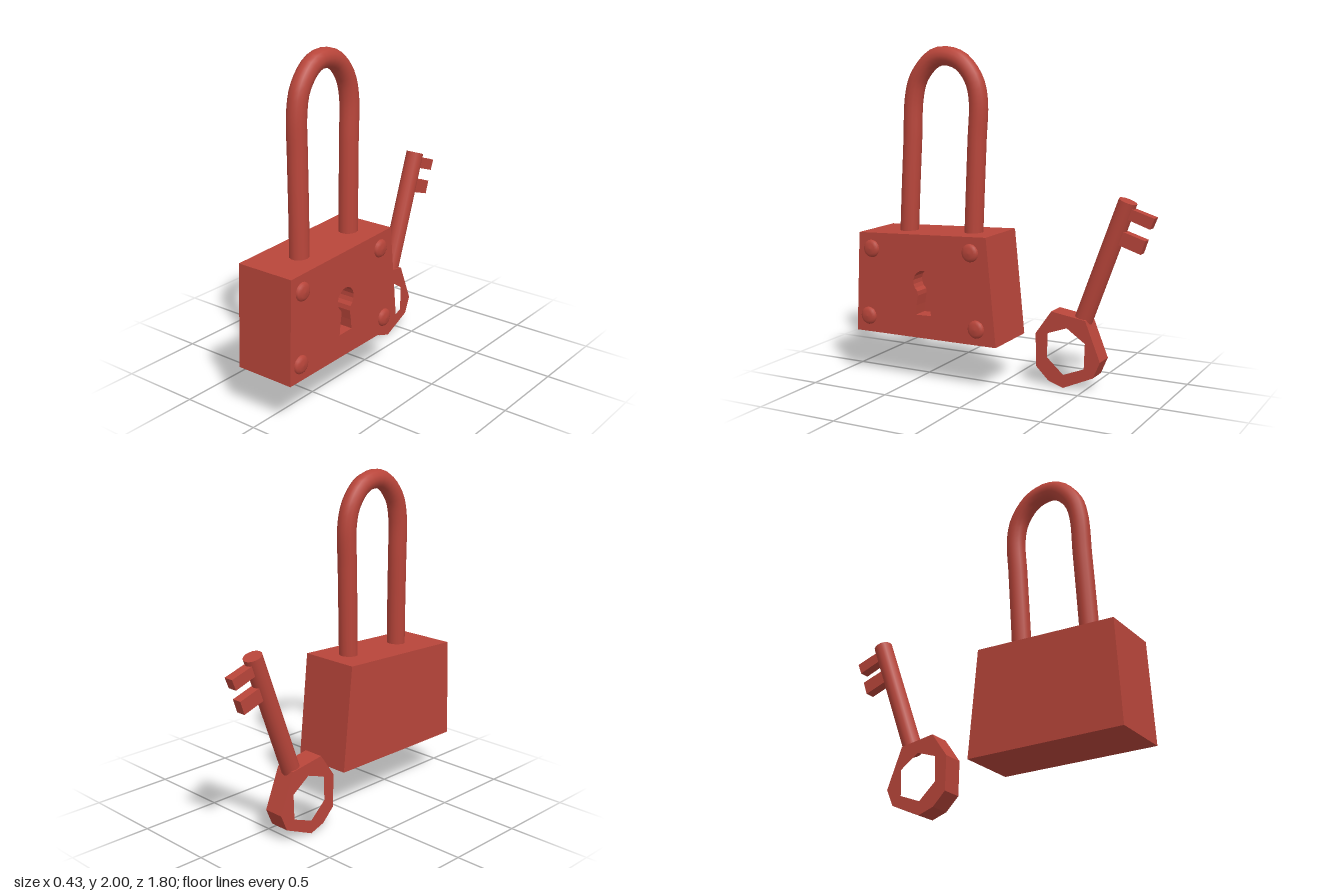
import * as THREE from 'three';

const red = new THREE.MeshStandardMaterial({ color: 0xb8453a });
const V = (x, y, z) => new THREE.Vector3(x, y, z);

function add(group, name, geometry) {
  const mesh = new THREE.Mesh(geometry, red);
  mesh.name = name;
  group.add(mesh);
  return mesh;
}

// Outlines are [z, y] points in the side plane; plates run from x0 to x1.
const path = (pts) => pts.map(([z, y]) => new THREE.Vector2(-z, y));

function plate(pts, x0, x1, hole) {
  const shape = new THREE.Shape(path(pts));
  if (hole) shape.holes.push(new THREE.Path(path(hole)));
  const geo = new THREE.ExtrudeGeometry(shape, { depth: x1 - x0, bevelEnabled: false });
  return geo.rotateY(Math.PI / 2).translate(x0, 0, 0);
}

// Round top with a flared slot below
function keyholeOutline() {
  const pts = [[0.37, 0.415], [0.375, 0.47], [0.385, 0.53]];
  for (let i = 0; i <= 14; i++) {
    const a = -0.95 + (i / 14) * (Math.PI + 1.9);
    pts.push([0.42 - Math.cos(a) * 0.071, 0.614 + Math.sin(a) * 0.071]);
  }
  pts.push([0.46, 0.53], [0.47, 0.47], [0.477, 0.412]);
  return pts;
}

function createLock() {
  const lock = new THREE.Group();
  lock.name = 'padlock';

  // Skewed case: solid back and a front layer cut by the keyhole
  const outline = [[0.9, 0.27], [-0.065, 0.275], [0.0, 0.918], [0.872, 0.884]];
  add(lock, 'caseBack', plate(outline, -0.185, 0.09));
  add(lock, 'caseFront', plate(outline, 0.09, 0.19, keyholeOutline()));

  // Low domed rivets
  const dome = new THREE.LatheGeometry(
    [[0.054, -0.005], [0.054, 0.004], [0.048, 0.013], [0.032, 0.021], [0, 0.024]]
      .map(([r, y]) => new THREE.Vector2(r, y)), 16);
  dome.rotateZ(-Math.PI / 2);
  for (const [z, y] of [[0.785, 0.79], [0.103, 0.82], [0.812, 0.37], [0.065, 0.37]]) {
    add(lock, 'rivet', dome).position.set(0.19, y, z);
  }

  // Tall shackle, slightly leaning
  const curve = new THREE.CatmullRomCurve3([
    V(0.026, 0.82, 0.618), V(0.018, 1.15, 0.606), V(0.008, 1.45, 0.595), V(0.002, 1.69, 0.586),
    V(0, 1.81, 0.555), V(0, 1.91, 0.475), V(0.002, 1.943, 0.41), V(0.002, 1.943, 0.335),
    V(0.002, 1.91, 0.255), V(0.002, 1.81, 0.175), V(0.003, 1.69, 0.146),
    V(0.006, 1.45, 0.154), V(0.01, 1.15, 0.165), V(0.014, 0.82, 0.176),
  ]);
  add(lock, 'shackle', new THREE.TubeGeometry(curve, 64, 0.057, 14));
  return lock;
}

function createKey() {
  const key = new THREE.Group();
  key.name = 'key';

  // Faceted bow with a six-sided opening
  add(key, 'bow', plate(
    [[-0.286, 0.456], [-0.503, 0.424], [-0.599, 0.185], [-0.556, 0.085],
      [-0.366, 0], [-0.27, 0.032], [-0.19, 0.11], [-0.185, 0.313]],
    -0.218, -0.093,
    [[-0.387, 0.366], [-0.503, 0.286], [-0.498, 0.132],
      [-0.366, 0.08], [-0.26, 0.175], [-0.265, 0.323]]));

  // Round shaft, leaning back
  const start = V(-0.157, 0.4, -0.462), end = V(-0.157, 1.134, -0.731);
  const along = end.clone().sub(start);
  const shaft = add(key, 'shaft', new THREE.CylinderGeometry(0.055, 0.055, along.length(), 16));
  shaft.position.copy(start).add(end).multiplyScalar(0.5);
  shaft.quaternion.setFromUnitVectors(V(0, 1, 0), along.normalize());

  // Two bits near the tip
  const bits = [
    [[-0.747, 1.097], [-0.715, 1.04], [-0.874, 0.985], [-0.9, 1.049]],
    [[-0.683, 0.97], [-0.646, 0.895], [-0.821, 0.837], [-0.848, 0.917]],
  ];
  for (const pts of bits) add(key, 'bit', plate(pts, -0.187, -0.128));
  return key;
}

export function createModel() {
  const model = new THREE.Group();
  model.name = 'padlockAndKey';
  model.add(createLock(), createKey());
  return model;
}
